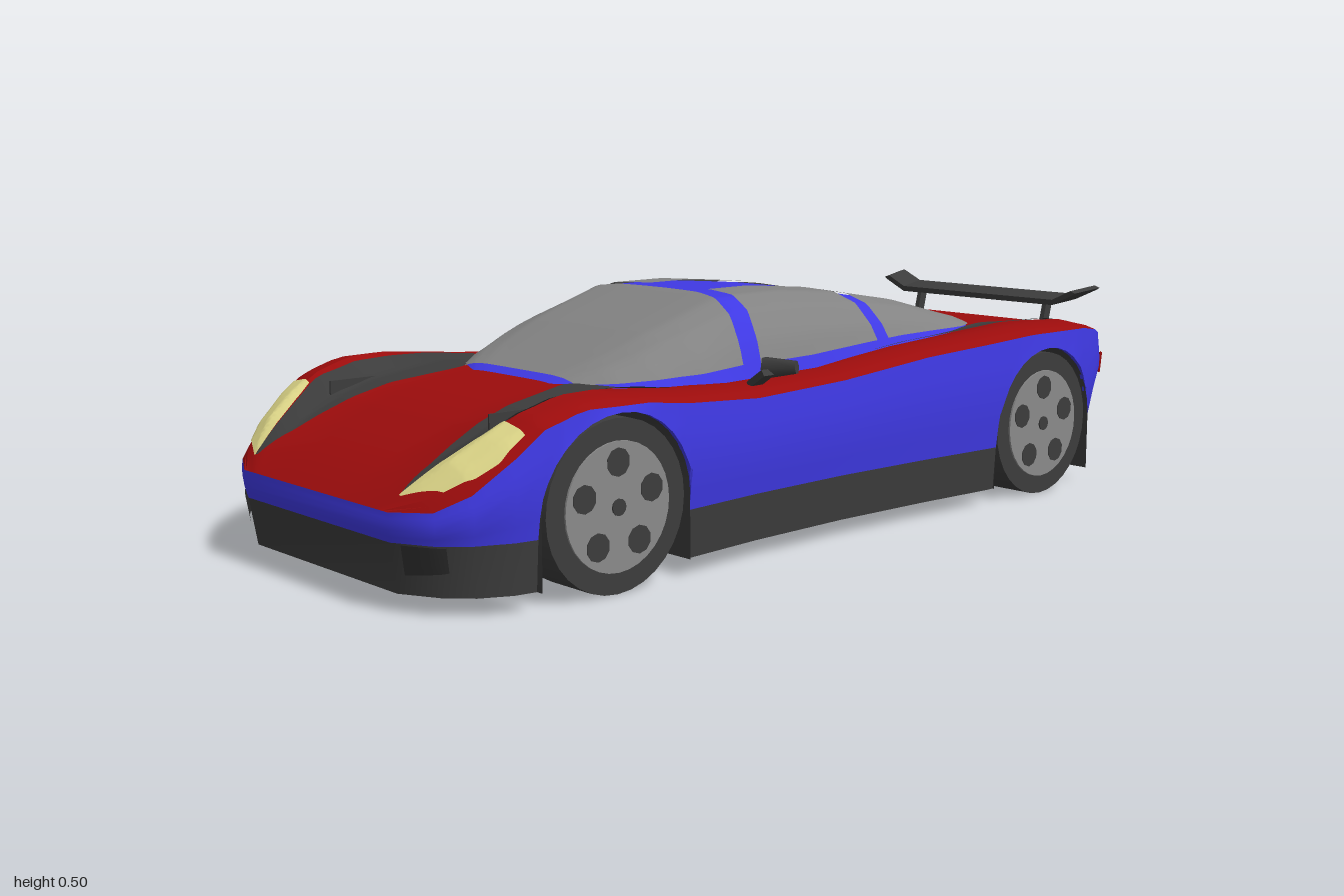
import * as THREE from 'three';
import { toCreasedNormals } from 'three/addons/utils/BufferGeometryUtils.js';

const V = (x, y, z) => new THREE.Vector3(x, y, z);
const lerp = THREE.MathUtils.lerp;
const paint = (name, color) => Object.assign(new THREE.MeshStandardMaterial({ color, side: THREE.DoubleSide }), { name });

// piecewise curve through [key, value] pairs
function curve(...pts) {
  pts.sort((a, b) => a[0] - b[0]);
  return (k) => {
    if (k <= pts[0][0]) return pts[0][1];
    for (let i = 1; i < pts.length; i++) {
      const [a, va] = pts[i - 1], [b, vb] = pts[i];
      if (k <= b) return lerp(va, vb, (k - a) / (b - a));
    }
    return pts[pts.length - 1][1];
  };
}

// surface through rows of points
function grid(rows) {
  const m = rows[0].length, pos = rows.flat().flatMap((p) => [p.x, p.y, p.z]), idx = [];
  for (let i = 0; i < rows.length - 1; i++)
    for (let j = 0; j < m - 1; j++) {
      const a = i * m + j, b = a + m;
      idx.push(a, b, a + 1, a + 1, b, b + 1);
    }
  const g = new THREE.BufferGeometry();
  g.setAttribute('position', new THREE.Float32BufferAttribute(pos, 3));
  g.setIndex(idx);
  return toCreasedNormals(g, 0.5);
}
const drape = (n, m, fn) => grid(Array.from({ length: n + 1 }, (_, i) => Array.from({ length: m + 1 }, (_, j) => fn(i / n, j / m))));

// body plan and heights along z
const plan = [[1, 0.25], [0.96, 0.33], [0.91, 0.375], [0.84, 0.405], [0.75, 0.42], [0.62, 0.425], [0.45, 0.42], [0.25, 0.405], [0, 0.4],
  [-0.25, 0.41], [-0.45, 0.425], [-0.65, 0.425], [-0.78, 0.42], [-0.87, 0.4], [-0.94, 0.36], [-0.965, 0.3]];
const halfWidth = curve(...plan.map((p) => [...p]));
const edgeY = curve([1, 0.185], [0.96, 0.19], [0.91, 0.22], [0.85, 0.27], [0.78, 0.325], [0.7, 0.35], [0.55, 0.347], [0.4, 0.328], [0.2, 0.317],
  [0, 0.328], [-0.3, 0.357], [-0.6, 0.372], [-0.8, 0.37], [-0.9, 0.355], [-0.965, 0.335]);
const crestY = curve([1, 0.185], [0.96, 0.22], [0.91, 0.265], [0.85, 0.305], [0.78, 0.345], [0.7, 0.368], [0.62, 0.37], [0.5, 0.36], [0.4, 0.348],
  [0.2, 0.338], [0, 0.347], [-0.3, 0.378], [-0.6, 0.392], [-0.8, 0.385], [-0.9, 0.365], [-0.965, 0.338]);
const centreY = curve([1, 0.185], [0.96, 0.215], [0.91, 0.245], [0.85, 0.275], [0.78, 0.305], [0.7, 0.328], [0.53, 0.35], [0.4, 0.335],
  [0, 0.335], [-0.3, 0.36], [-0.55, 0.374], [-0.63, 0.38], [-0.8, 0.375], [-0.9, 0.36], [-0.965, 0.338]);

// wheel arches
const axles = [0.62, -0.65], AXLE_Y = 0.163, ARCH_R = 0.175;
const inArch = (z) => axles.find((c) => Math.abs(z - c) < ARCH_R);
const archY = (z) => {
  const c = inArch(z);
  return c === undefined ? 0 : AXLE_Y + Math.sqrt(ARCH_R ** 2 - (z - c) ** 2);
};
const stations = plan.map((p) => p[0]);
for (const c of axles) {
  stations.push(c + ARCH_R * 1.001, c - ARCH_R * 1.001);
  for (let k = 0; k <= 16; k++) stations.push(c + ARCH_R * 0.9999 * Math.cos((k * Math.PI) / 16));
}
stations.sort((a, b) => b - a);

// side skin: s is -1 at the underside, 0 at the sill line, 1 at the deck edge
const bulge = curve([-1, 0.975], [0, 0.99], [0.4, 1.015], [0.7, 1.015], [1, 1]);
const noseIn = curve([-1, -0.02], [0, -0.005], [0.5, 0], [1, 0]);
const tailIn = curve([-1, 0.09], [0, 0.065], [0.3, 0.035], [0.65, -0.005], [1, 0]);
function skin(z, s, side = 1, grow = 0) {
  const y = s < 0 ? 0.13 + s * 0.095 : 0.13 + s * (edgeY(z) - 0.13);
  const k = THREE.MathUtils.clamp((Math.abs(z) - 0.83) / 0.12, 0, 1);
  return V(side * (halfWidth(z) * bulge(s) + grow), Math.max(y, archY(z)), z + k * (z > 0 ? noseIn(s) + grow : tailIn(s) - grow));
}
const ring = (s, zs = stations, grow = 0) => [...zs.map((z) => skin(z, s, 1, grow)), ...[...zs].reverse().map((z) => skin(z, s, -1, grow))];
const closed = (pts) => [...pts, pts[0]];

// upper deck height
const shoulder = (z) => {
  const e = edgeY(z), c = crestY(z), m = centreY(z);
  return curve([0, m], [0.62, m], [0.82, c], [0.93, lerp(e, c, 0.65)], [1, e]);
};
const deckAt = (x, z, lift = 0) => V(x, shoulder(z)(Math.min(1, Math.abs(x) / halfWidth(z))) + lift, z);

// canopy surface: q runs from -1 to 1 across
const roofW = curve([0.545, 0.15], [0.52, 0.2], [0.47, 0.25], [0.4, 0.285], [0.3, 0.31], [0.15, 0.322], [0, 0.322], [-0.2, 0.307],
  [-0.4, 0.287], [-0.55, 0.264], [-0.61, 0.235], [-0.63, 0.19]);
const roofTop = curve([0.545, 0.35], [0.35, 0.43], [0.155, 0.495], [-0.02, 0.495], [-0.19, 0.48], [-0.4, 0.445], [-0.61, 0.392], [-0.63, 0.38]);
const roofBase = curve([0.545, 0.343], [0.3, 0.333], [0, 0.34], [-0.3, 0.362], [-0.55, 0.37], [-0.63, 0.375]);
const roofArc = curve([0, 1], [0.35, 0.998], [0.58, 0.975], [0.77, 0.81], [0.9, 0.46], [1, 0]);
const canopyAt = (q, z, lift = 0) =>
  V(q * (roofW(z) + lift), lerp(roofBase(z), roofTop(z), roofArc(Math.abs(q))) + lift, z);

export function createModel() {
  const car = new THREE.Group();
  car.name = 'sportsCar';
  const red = paint('red paint', 0x9c0c0c), blue = paint('blue paint', 0x3f39e4), dark = paint('dark trim', 0x3c3c3c);
  const black = paint('black intake', 0x2a2a2a), glass = paint('grey glass', 0x838383);
  const lamp = paint('pale yellow lamp', 0xddd688), metal = paint('wheel metal', 0x8a8a8a);
  const add = (name, geo, mat, parent = car) => {
    const m = new THREE.Mesh(geo, mat);
    m.name = name;
    parent.add(m);
    return m;
  };

  // body shell
  add('sideBody', grid([1, 0.8, 0.65, 0.4, 0.2, 0].map((s) => closed(ring(s)))), blue);
  add('lowerSkirt', grid([0, -1].map((s) => closed(ring(s)))), dark);
  const fr = [1, 0.965, 0.93, 0.88, 0.82, 0.72, 0.62, 0.3, 0];
  const across = [...fr, ...fr.slice(0, -1).reverse().map((f) => -f)];
  add('upperDeck', grid(stations.map((z) => across.map((f) => deckAt(f * halfWidth(z), z)))), red);
  const floor = new THREE.Shape(ring(-1).map((p, i) => {
    const z = [...stations, ...[...stations].reverse()][i];
    return new THREE.Vector2(inArch(z) === undefined ? p.x : Math.sign(p.x) * 0.27, p.z);
  }));
  add('underside', new THREE.ShapeGeometry(floor).rotateX(Math.PI / 2).translate(0, 0.035, 0), dark);
  add('tailStripe', grid([0.77, 0.55].map((s) => ring(s, [-0.9, -0.92, -0.94, -0.953, -0.965], 0.005))), red);

  // canopy and windows
  add('canopy', drape(48, 48, (u, v) => canopyAt(1 - 2 * v, lerp(0.545, -0.63, u))), blue);
  add('windshield', drape(24, 48, (u, v) => {
    const q = 0.955 * (1 - 2 * v);
    return canopyAt(q, lerp(0.527, 0.145 + 0.06 * q * q, u), 0.004);
  }), glass);
  for (const side of [1, -1]) {
    const pane = (name, qIn, z1, z2) => add(name, drape(20, 24, (u, v) => {
      const q = lerp(0.96, qIn, v);
      return canopyAt(side * q, lerp(z1(q), z2(q), u), 0.004);
    }), glass);
    pane('sideWindow', 0.29, (q) => 0.095 + 0.065 * q * q, (q) => -0.19 - 0.025 * q * q);
    pane('rearWindow', 0.27, (q) => -0.23 - 0.025 * q * q, () => -0.615);

    // painted bands and lamps on the deck
    const band = (name, mat, z1, z2, xIn, xOut, lift) => add(name, drape(32, 12, (u, v) => {
      const z = lerp(z1, z2, u);
      return deckAt(side * lerp(xOut(z), xIn(z), v), z, lift);
    }), mat);
    band('hoodStripe', dark, 0.4, 0.972, curve([0.4, 0.3], [0.5, 0.2], [0.545, 0.165], [0.972, 0.248]),
      curve([0.4, 0.325], [0.8, 0.325], [0.972, 0.255]), 0.003);
    band('rearStripe', dark, -0.2, -0.93, curve([-0.2, 0.3], [-0.6, 0.245], [-0.93, 0.297]),
      curve([-0.2, 0.305], [-0.5, 0.31], [-0.93, 0.31]), 0.003);
    band('headlight', lamp, 0.81, 0.975, curve([0.81, 0.322], [0.975, 0.25]),
      curve([0.81, 0.395], [0.86, 0.39], [0.9, 0.368], [0.94, 0.332], [0.975, 0.255]), 0.006);
    add('frontIntake', drape(4, 3, (u, v) => skin(lerp(0.99, 0.945, u), lerp(-0.6 + 0.1 * u, -0.02, v), side, 0.004)), black);

    // door mirror
    const mirror = new THREE.Group();
    mirror.name = 'doorMirror';
    const head = add('mirrorHead', new THREE.CylinderGeometry(0.014, 0.024, 0.07, 6).scale(1, 1, 0.75).rotateZ(-Math.PI / 2), dark, mirror);
    head.position.set(0.402, 0.373, 0.19);
    head.rotation.set(0, 0.35, 0.08);
    const arm = add('mirrorArm', new THREE.BoxGeometry(0.05, 0.014, 0.03), dark, mirror);
    arm.position.set(0.372, 0.351, 0.215);
    arm.rotation.z = 0.6;
    mirror.scale.x = side;
    car.add(mirror);

    // twin exhaust
    add('exhaustHousing', new THREE.BoxGeometry(0.11, 0.045, 0.04), dark).position.set(side * 0.19, 0.105, -0.885);
    for (const dx of [-0.026, 0.026])
      add('exhaustPipe', new THREE.CylinderGeometry(0.016, 0.016, 0.03, 12).rotateX(Math.PI / 2), metal).position.set(side * 0.19 + dx, 0.105, -0.897);

    // wheels and wells
    for (const z of axles) {
      const well = [[z + ARCH_R, 0.035]];
      for (let k = 0; k <= 16; k++) {
        const a = (k * Math.PI) / 16;
        well.push([z + ARCH_R * Math.cos(a), AXLE_Y + ARCH_R * Math.sin(a)]);
      }
      well.push([z - ARCH_R, 0.035]);
      add('wheelWell', grid([0.27, 0.418].map((x) => well.map((p) => V(side * x, p[1], p[0])))), dark);
      add('wellWall', new THREE.BoxGeometry(0.004, 0.3, 0.35), dark).position.set(side * 0.268, 0.185, z);
      const wheel = new THREE.Group();
      wheel.name = 'wheel';
      wheel.position.set(side * 0.357, AXLE_Y, z);
      wheel.rotation.y = (side * Math.PI) / 2;
      const disc = (name, r, depth, at, mat, seg = 32) => add(name, new THREE.CylinderGeometry(r, r, depth, seg).rotateX(Math.PI / 2), mat, wheel).position.copy(at);
      disc('tyre', 0.163, 0.114, V(0, 0, 0), dark);
      disc('rim', 0.122, 0.006, V(0, 0, 0.058), metal);
      disc('hub', 0.016, 0.004, V(0, 0, 0.062), dark, 12);
      for (let k = 0; k < 5; k++) {
        const a = Math.PI / 2 + (k * Math.PI * 2) / 5;
        disc('rimHole', 0.027, 0.003, V(0.083 * Math.cos(a), 0.083 * Math.sin(a), 0.061), dark, 10);
      }
      car.add(wheel);
    }

    // spoiler post
    const post = add('spoilerPost', new THREE.BoxGeometry(0.012, 0.075, 0.022), dark);
    post.position.set(side * 0.2, 0.373, -0.945);
    post.rotation.x = -0.25;
  }

  // rear spoiler with raised tips
  const wing = [[-0.32, 0.433], [-0.31, 0.427], [-0.25, 0.4], [0.25, 0.4], [0.31, 0.427], [0.32, 0.433], [0.305, 0.438], [0.25, 0.413], [-0.25, 0.413], [-0.305, 0.438]];
  const spoiler = new THREE.ExtrudeGeometry(new THREE.Shape(wing.map((p) => new THREE.Vector2(...p))), { depth: 0.08, bevelEnabled: false }).translate(0, 0, -1);
  const pos = spoiler.attributes.position;
  for (let i = 0; i < pos.count; i++) {
    const back = (-0.92 - pos.getZ(i)) / 0.08;
    pos.setXYZ(i, pos.getX(i) * (0.95 + 0.05 * back), pos.getY(i) + 0.01 * back, pos.getZ(i));
  }
  spoiler.computeVertexNormals();
  add('rearSpoiler', spoiler, dark);
  return car;
}
